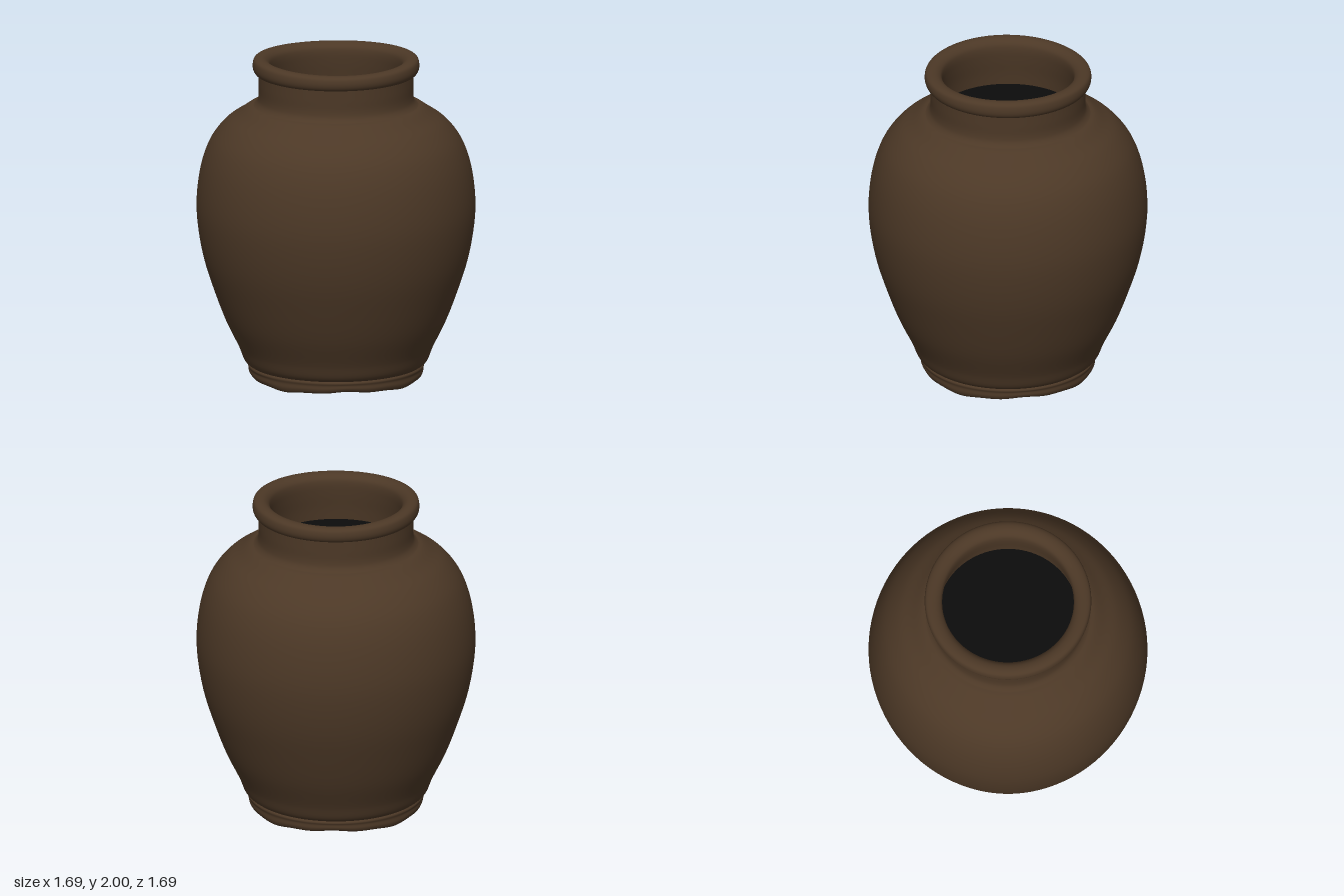
import * as THREE from 'three';
import { mergeVertices } from 'three/addons/utils/BufferGeometryUtils.js';

const SEGMENTS = 96;

// Smooth surface of revolution; warp(position, angle) adds hand-thrown irregularity
function turned(name, points, samples, material, warp) {
  const curve = new THREE.CatmullRomCurve3(
    points.map(([r, y]) => new THREE.Vector3(r, y, 0)), false, 'centripetal');
  const profile = curve.getPoints(samples).map(p => new THREE.Vector2(Math.max(p.x, 0), p.y));
  let geometry = new THREE.LatheGeometry(profile, SEGMENTS);
  geometry.deleteAttribute('uv');
  geometry.deleteAttribute('normal');
  geometry = mergeVertices(geometry, 1e-5);
  if (warp) {
    const pos = geometry.attributes.position;
    const v = new THREE.Vector3();
    for (let i = 0; i < pos.count; i++) {
      v.fromBufferAttribute(pos, i);
      warp(v, Math.atan2(v.x, v.z));
      pos.setXYZ(i, v.x, v.y, v.z);
    }
  }
  geometry.computeVertexNormals();
  const mesh = new THREE.Mesh(geometry, material);
  mesh.name = name;
  return mesh;
}

export function createModel() {
  const clay = new THREE.MeshStandardMaterial({ color: 0x4c3826 });
  clay.name = 'brown clay';
  const dark = new THREE.MeshStandardMaterial({ color: 0x0c0c0c });
  dark.name = 'dark interior';

  const jar = new THREE.Group();
  jar.name = 'jar';

  // Swelling body, from just above the foot to the shoulder crease
  jar.add(turned('body', [
    [0.525, 0.09], [0.555, 0.115], [0.59, 0.2], [0.67, 0.365], [0.74, 0.55], [0.8, 0.74],
    [0.835, 0.92], [0.847, 1.08], [0.833, 1.25], [0.8, 1.39], [0.75, 1.5], [0.67, 1.595],
    [0.59, 1.65], [0.53, 1.69], [0.5, 1.7],
  ], 70, clay));

  // Neck, flared where it meets the shoulder
  jar.add(turned('neck', [
    [0.53, 1.69], [0.5, 1.7], [0.478, 1.725], [0.47, 1.76], [0.47, 1.83], [0.47, 1.9],
  ], 24, clay));

  // Rolled rim running down into the inner wall of the neck
  jar.add(turned('rim', [
    [0.468, 1.895], [0.488, 1.9], [0.503, 1.922], [0.506, 1.955], [0.497, 1.985],
    [0.47, 1.998], [0.435, 1.993], [0.408, 1.968], [0.4, 1.93], [0.405, 1.86], [0.42, 1.76], [0.43, 1.67],
  ], 50, clay, (v, a) => {
    if (v.y > 1.93) v.y -= 0.006 * (1 + Math.cos(2 * a)) * (v.y - 1.93) / 0.07;
  }));

  // Uneven foot ring with a hollow underside
  jar.add(turned('foot', [
    [0.44, 0.07], [0.455, 0.045], [0.47, 0.02], [0.495, 0.012], [0.518, 0.018],
    [0.53, 0.04], [0.53, 0.065], [0.535, 0.082], [0.525, 0.098],
  ], 36, clay, (v, a) => {
    const low = Math.max(0, 1 - v.y / 0.08);
    v.y += low * (0.011 * Math.cos(4 * a) + 0.004 * Math.cos(12 * a));
  }));

  // Underside closing the foot ring
  const base = new THREE.Mesh(new THREE.CircleGeometry(0.46, SEGMENTS), clay);
  base.name = 'base';
  base.rotation.x = Math.PI / 2;
  base.position.y = 0.055;
  jar.add(base);

  // Dark contents seen through the mouth
  const inside = new THREE.Mesh(new THREE.CircleGeometry(0.432, SEGMENTS), dark);
  inside.name = 'inside';
  inside.rotation.x = -Math.PI / 2;
  inside.position.y = 1.69;
  jar.add(inside);

  return jar;
}
